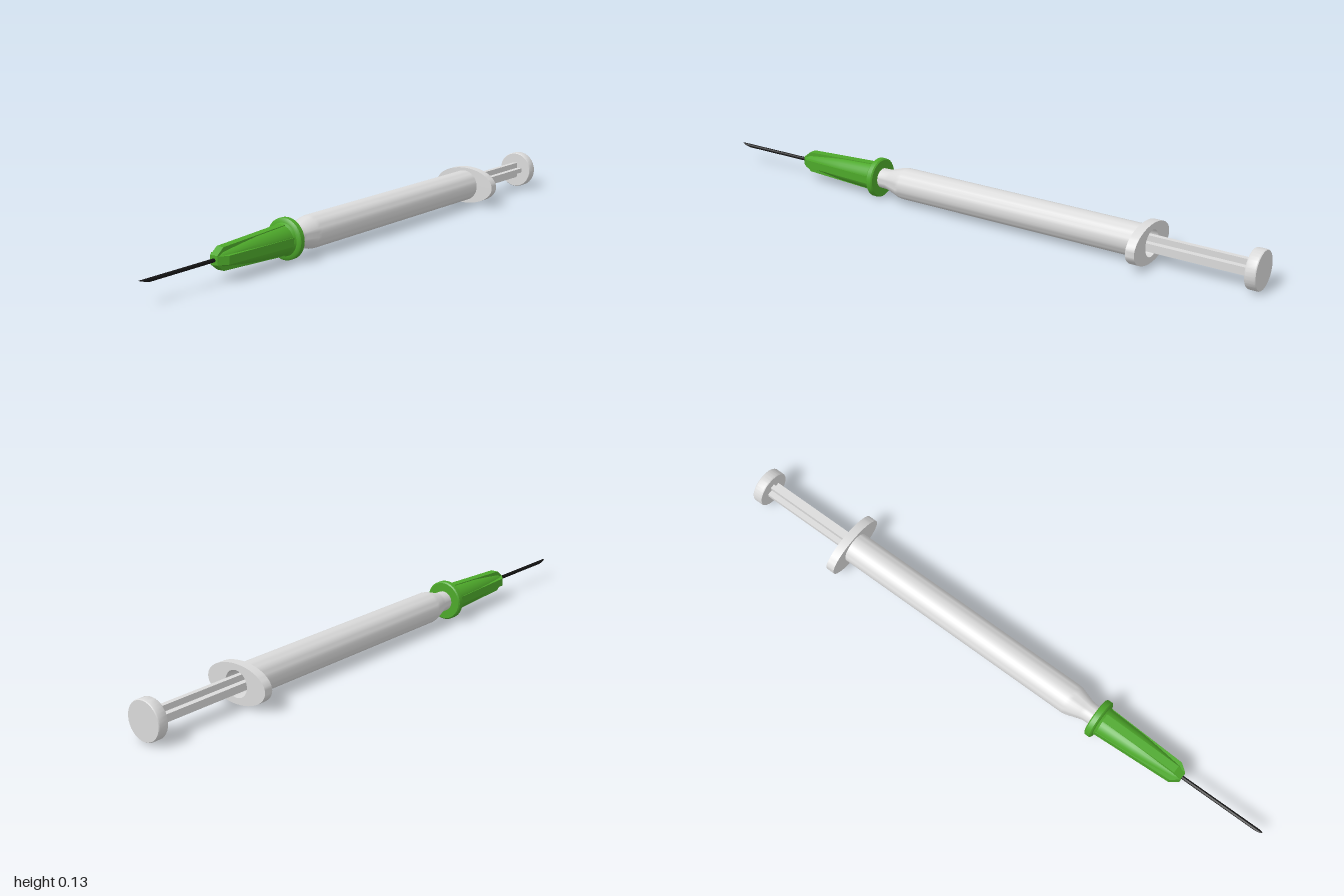
import * as THREE from 'three';
import { toCreasedNormals } from 'three/addons/utils/BufferGeometryUtils.js';

const AXIS_Y = 0.066;

export function createModel() {
  const plastic = new THREE.MeshStandardMaterial({ color: 0xdadada });
  plastic.name = 'paleGreyPlastic';
  const green = new THREE.MeshStandardMaterial({ color: 0x4da82a });
  green.name = 'greenPlastic';
  const steel = new THREE.MeshStandardMaterial({ color: 0x141414 });
  steel.name = 'darkNeedle';

  const model = new THREE.Group();
  model.name = 'syringe';
  const body = new THREE.Group();
  body.name = 'syringeBody';
  body.position.y = AXIS_Y;
  model.add(body);

  const add = (name, geometry, material, parent = body) => {
    const mesh = new THREE.Mesh(geometry, material);
    mesh.name = name;
    parent.add(mesh);
    return mesh;
  };

  // Turned part along x from [x, radius] pairs
  const turned = (profile, sides = 32) => {
    const g = new THREE.LatheGeometry(profile.map(([x, r]) => new THREE.Vector2(r, x)), sides);
    g.rotateZ(-Math.PI / 2);
    return toCreasedNormals(g, 0.6);
  };

  // Needle, cut to a slanted point that ends at its upper edge
  const R = 0.006;
  const needleGeo = new THREE.CylinderGeometry(R, R, 0.31, 12);
  needleGeo.rotateZ(-Math.PI / 2);
  needleGeo.translate(-0.845, 0, 0);
  const p = needleGeo.attributes.position;
  for (let i = 0; i < p.count; i++) {
    if (p.getX(i) < -0.9) p.setX(i, -1 + 0.04 * (R - p.getY(i)) / (2 * R));
  }
  add('needle', toCreasedNormals(needleGeo, 0.6), steel);

  // Green needle hub with its collar
  const hub = new THREE.Group();
  hub.name = 'needleHub';
  body.add(hub);
  add('hubCore', turned([
    [-0.702, 0], [-0.702, 0.015], [-0.675, 0.025], [-0.53, 0.041], [-0.39, 0.048], [-0.385, 0],
  ]), green, hub);
  add('hubCollar', turned([
    [-0.405, 0.046], [-0.395, 0.052], [-0.393, 0.062], [-0.389, 0.066],
    [-0.373, 0.066], [-0.369, 0.062], [-0.369, 0.03],
  ]), green, hub);

  // Four tapering ribs around the hub
  const ribShape = new THREE.Shape([
    [-0.702, 0], [-0.702, 0.014], [-0.675, 0.035], [-0.4, 0.048], [-0.4, 0],
  ].map(([x, y]) => new THREE.Vector2(x, y)));
  const ribWidth = 0.026;
  const ribGeo = new THREE.ExtrudeGeometry(ribShape, { depth: ribWidth, bevelEnabled: false });
  ribGeo.translate(0, 0, -ribWidth / 2);
  for (let i = 0; i < 4; i++) {
    add('hubRib', ribGeo, green, hub).rotation.x = i * Math.PI / 2;
  }

  // Barrel with nozzle, open at the rear
  add('barrel', turned([
    [-0.375, 0], [-0.375, 0.033], [-0.34, 0.034], [-0.325, 0.038], [-0.285, 0.051], [-0.27, 0.053],
    [0.62, 0.053], [0.64, 0.053], [0.64, 0.043], [-0.2, 0.043], [-0.2, 0],
  ]), plastic);

  // Oval finger flange with the barrel opening through it
  const oval = new THREE.Shape();
  oval.absellipse(0, 0, 0.115, 0.063, 0, Math.PI * 2);
  const hole = new THREE.Path();
  hole.absarc(0, 0, 0.043, 0, Math.PI * 2, true);
  oval.holes.push(hole);
  const flangeGeo = new THREE.ExtrudeGeometry(oval, { depth: 0.03, bevelEnabled: false, curveSegments: 24 });
  flangeGeo.rotateY(Math.PI / 2);
  flangeGeo.translate(0.611, 0, 0);
  add('fingerFlange', toCreasedNormals(flangeGeo, 0.6), plastic);

  // Plunger: cross-shaped rod, stopper and thumb rest
  const plunger = new THREE.Group();
  plunger.name = 'plunger';
  body.add(plunger);
  const rodStart = 0.45, rodEnd = 0.97;
  for (const [h, d] of [[0.054, 0.016], [0.016, 0.054]]) {
    const rib = add('plungerRib', new THREE.BoxGeometry(rodEnd - rodStart, h, d), plastic, plunger);
    rib.position.x = (rodStart + rodEnd) / 2;
  }
  add('stopper', turned([[0.42, 0], [0.42, 0.042], [0.45, 0.042], [0.45, 0]]), plastic, plunger);
  add('thumbRest', turned([
    [0.965, 0], [0.965, 0.061], [0.968, 0.063], [0.997, 0.063], [1, 0.061], [1, 0],
  ]), plastic, plunger);

  return model;
}
